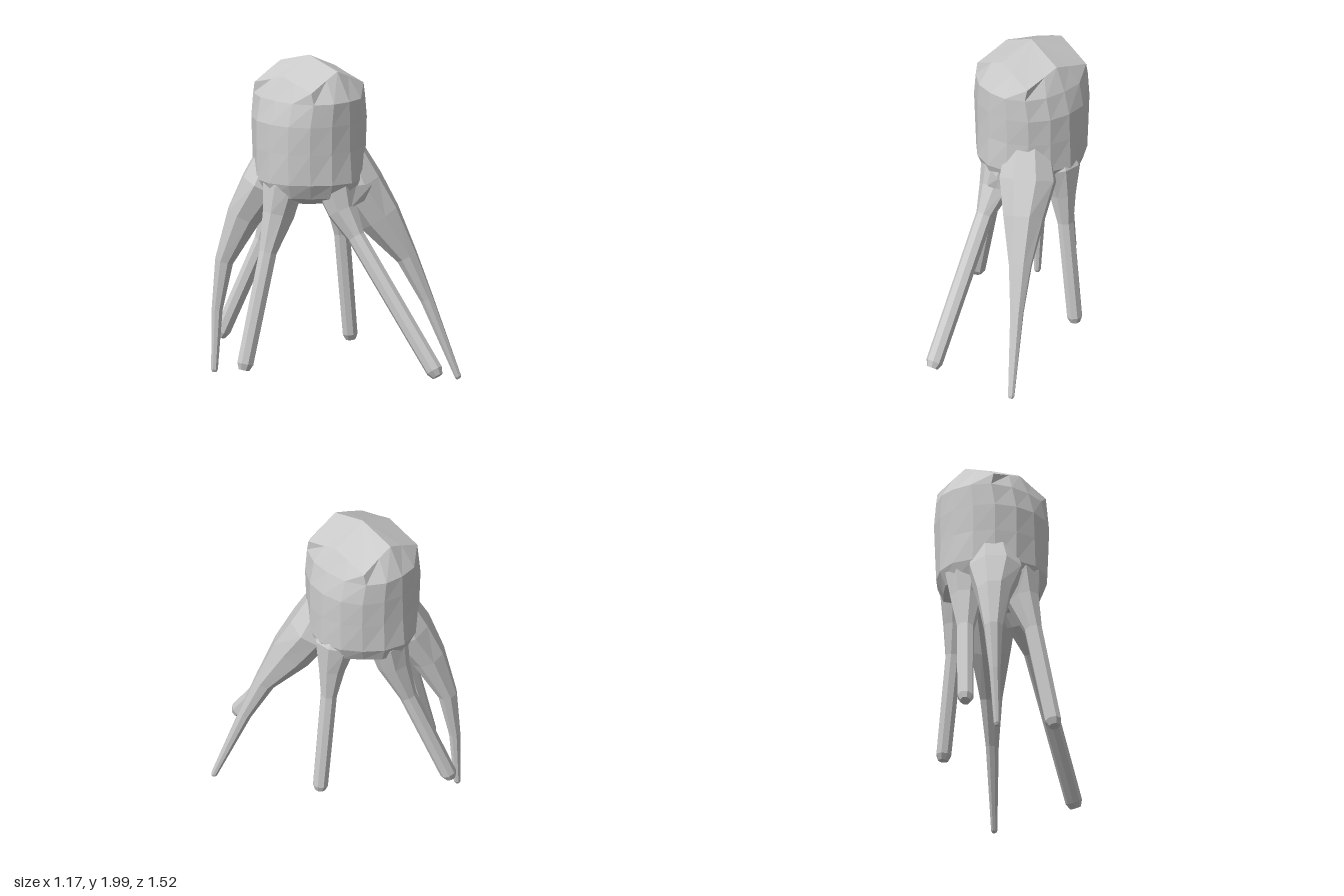
import * as THREE from 'three';

const V = (x, y, z) => new THREE.Vector3(x, y, z);
const grey = new THREE.MeshStandardMaterial({ color: 0xcccccc, flatShading: true });

// Joins equal-sized rings into a closed surface, with a fan at each end.
function loft(name, rings, start, end) {
  const n = rings[0].length, pos = [];
  const tri = (...pts) => pts.forEach(p => pos.push(p.x, p.y, p.z));
  const last = rings.length - 1;
  for (let j = 0; j < n; j++) {
    const k = (j + 1) % n;
    tri(start, rings[0][k], rings[0][j]);
    for (let i = 0; i < last; i++) {
      const a = rings[i], b = rings[i + 1];
      tri(a[j], a[k], b[k]);
      tri(a[j], b[k], b[j]);
    }
    tri(end, rings[last][j], rings[last][k]);
  }
  const geo = new THREE.BufferGeometry();
  geo.setAttribute('position', new THREE.Float32BufferAttribute(pos, 3));
  geo.computeVertexNormals();
  const mesh = new THREE.Mesh(geo, grey);
  mesh.name = name;
  return mesh;
}

// Leg along a path of [x, y, z, half width, half depth], finished with a blunt tip.
function leg(name, path) {
  const pts = path.map(p => V(p[0], p[1], p[2]));
  const last = pts.length - 1;
  const out = pts[last].clone().sub(pts[0]);
  const side = V(out.z, 0, -out.x).normalize();
  const ring = (c, t, w, d) => {
    const normal = t.clone().cross(side).normalize();
    return Array.from({ length: 8 }, (_, j) => {
      const a = (j + 0.5) / 8 * Math.PI * 2;
      return c.clone().addScaledVector(side, w * Math.cos(a)).addScaledVector(normal, d * Math.sin(a));
    });
  };
  const rings = pts.map((p, i) => {
    const t = pts[Math.min(i + 1, last)].clone().sub(pts[Math.max(i - 1, 0)]).normalize();
    return ring(p, t, path[i][3], path[i][4] ?? path[i][3]);
  });
  const t = pts[last].clone().sub(pts[last - 1]).normalize();
  const r = path[last][3];
  const tip = pts[last].clone().addScaledVector(t, r * 0.75);
  rings.push(ring(tip, t, r * 0.65, r * 0.65));
  return loft(name, rings, pts[0], tip);
}

// Domed body: round rings below, a squared faceted roof on top.
function body() {
  const cx = -0.015, cz = -0.21, n = 16;
  const levels = [ // y, x radius, z radius, extra fullness at the diagonals
    [1.12, 0.2, 0.2, 0], [1.17, 0.32, 0.33, -0.1], [1.26, 0.352, 0.362, -0.06],
    [1.45, 0.345, 0.348, -0.01], [1.62, 0.338, 0.346, 0.02], [1.76, 0.295, 0.342, 0.06]
  ];
  const angles = Array.from({ length: n }, (_, j) => j / n * Math.PI * 2);
  const rings = levels.map(([y, rx, rz, full]) => angles.map(a => {
    const f = 1 + full * Math.sin(2 * a) ** 2;
    return V(cx + rx * f * Math.cos(a), y, cz - rz * f * Math.sin(a));
  }));
  rings.push(angles.map(a => {
    const c = Math.cos(a), s = Math.sin(a);
    const m = Math.max(Math.abs(c), Math.abs(s));
    const corner = Math.min(Math.abs(c), Math.abs(s)) / m;
    return V(cx + 0.225 * c / m, 1.9 + 0.032 * s * s - 0.085 * corner, cz - 0.24 * s / m);
  }));
  return loft('body', rings, V(cx, 1.1, cz), V(cx, 2, cz));
}

export function createModel() {
  const model = new THREE.Group();
  model.add(body());

  // Two long pointed legs
  model.add(leg('frontLeftPointedLeg', [
    [0.09, 1.58, -0.11, 0.06], [0.135, 1.4, -0.05, 0.14, 0.12], [0.195, 1.2, 0.01, 0.18, 0.15],
    [0.27, 1.0, 0.11, 0.13, 0.135],
    [0.375, 0.76, 0.235, 0.072, 0.068], [0.45, 0.5, 0.33, 0.042], [0.565, 0.025, 0.48, 0.02]
  ]));
  model.add(leg('backRightPointedLeg', [
    [-0.11, 1.58, -0.29, 0.06], [-0.15, 1.4, -0.36, 0.13, 0.11], [-0.215, 1.2, -0.405, 0.17, 0.14],
    [-0.285, 1.0, -0.5, 0.11, 0.11],
    [-0.36, 0.72, -0.59, 0.06], [-0.395, 0.42, -0.615, 0.036], [-0.415, 0.055, -0.617, 0.022]
  ]));

  // Four blunt stick legs flaring into the body
  model.add(leg('frontLeg', [
    [-0.01, 1.5, -0.06, 0.05], [-0.015, 1.22, 0.02, 0.145, 0.12], [-0.02, 1.08, 0.08, 0.105, 0.09],
    [-0.005, 0.93, 0.18, 0.055], [0.128, 0.165, 0.71, 0.052]
  ]));
  model.add(leg('backLeg', [
    [-0.02, 1.5, -0.36, 0.05], [-0.015, 1.22, -0.43, 0.14, 0.125], [-0.03, 1.05, -0.46, 0.1],
    [-0.085, 0.82, -0.53, 0.053], [-0.245, 0.25, -0.715, 0.05]
  ]));
  model.add(leg('rightLeg', [
    [-0.17, 1.5, -0.21, 0.05], [-0.24, 1.22, -0.21, 0.14, 0.125], [-0.275, 1.05, -0.215, 0.095, 0.105],
    [-0.36, 0.83, -0.22, 0.056], [-0.535, 0.165, -0.24, 0.052]
  ]));
  model.add(leg('leftLeg', [
    [0.15, 1.5, -0.22, 0.05], [0.23, 1.22, -0.22, 0.14, 0.12], [0.255, 1.04, -0.22, 0.085],
    [0.28, 0.85, -0.22, 0.052], [0.355, 0.215, -0.225, 0.048]
  ]));

  // Thin loose flap under the front of the body
  const flap = new THREE.BufferGeometry().setFromPoints([
    V(-0.02, 1.11, 0.15), V(0.08, 1.14, 0.165), V(0.125, 1.24, 0.19),
    V(-0.02, 1.11, 0.15), V(0.125, 1.24, 0.19), V(0.02, 1.24, 0.155)
  ]);
  flap.computeVertexNormals();
  const flapMesh = new THREE.Mesh(flap, new THREE.MeshStandardMaterial({
    color: 0xcccccc, flatShading: true, side: THREE.DoubleSide
  }));
  flapMesh.name = 'flap';
  model.add(flapMesh);
  return model;
}
